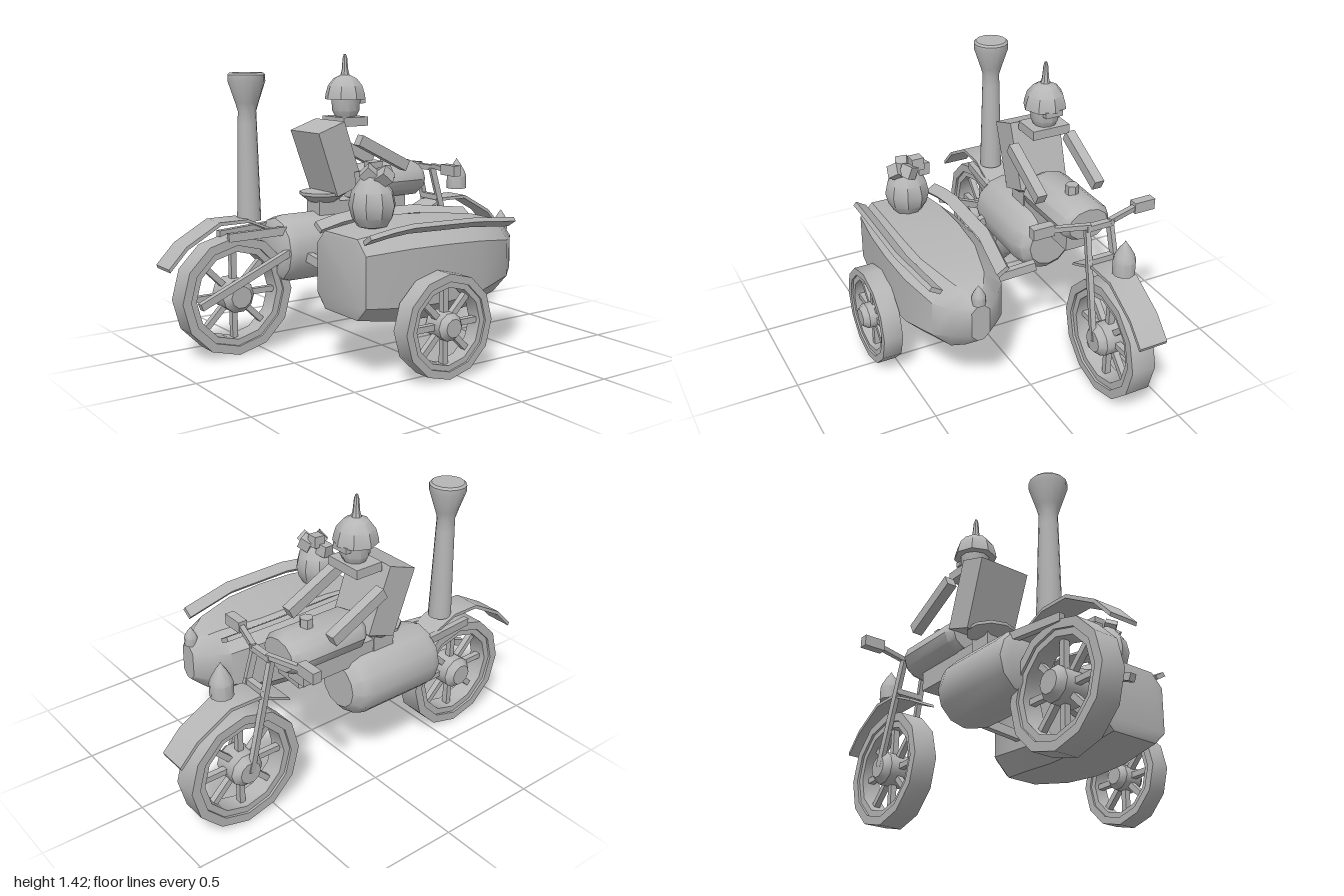
import * as THREE from 'three';
import { toCreasedNormals } from 'three/addons/utils/BufferGeometryUtils.js';

const grey = new THREE.MeshStandardMaterial({ color: 0xb6b6b6 });
grey.name = 'plain grey';
const BX = -0.32; // centre line of the motorcycle
const SX = 0.285; // centre line of the sidecar

export function createModel() {
  const root = new THREE.Group();
  root.name = 'motorcycleWithSidecar';

  const add = (name, geo, x = 0, y = 0, z = 0, parent = root) => {
    const m = new THREE.Mesh(toCreasedNormals(geo, 0.65), grey);
    m.name = name;
    m.position.set(x, y, z);
    parent.add(m);
    return m;
  };
  const box = (name, w, h, d, x, y, z, parent) => add(name, new THREE.BoxGeometry(w, h, d), x, y, z, parent);
  // box beam running from a to b
  const bar = (name, a, b, w, h) => {
    const p = new THREE.Vector3(...a), q = new THREE.Vector3(...b);
    const m = add(name, new THREE.BoxGeometry(w, h, p.distanceTo(q)));
    m.position.copy(p).lerp(q, 0.5);
    m.lookAt(q);
    return m;
  };
  // turned part, profile given as [radius, height] from bottom to top
  const lathe = (pts, n) => new THREE.LatheGeometry(pts.map(p => new THREE.Vector2(...p)), n);
  const ring = (r0, r1, w) =>
    lathe([[r0, -w / 2], [r1, -w / 2], [r1, w / 2], [r0, w / 2], [r0, -w / 2]], 12).rotateZ(Math.PI / 2);
  // closed skin over equal-sized loops ordered from +z to -z, each counter-clockwise seen from +z
  const loft = loops => {
    const n = loops[0].length, idx = [];
    for (let i = 0; i < loops.length - 1; i++)
      for (let k = 0; k < n; k++) {
        const a = i * n + k, b = i * n + (k + 1) % n, c = b + n, d = a + n;
        idx.push(a, d, c, a, c, b);
      }
    const last = (loops.length - 1) * n;
    for (let k = 1; k < n - 1; k++) idx.push(0, k, k + 1, last, last + k + 1, last + k);
    const g = new THREE.BufferGeometry();
    g.setAttribute('position', new THREE.Float32BufferAttribute(loops.flat(2), 3));
    g.setIndex(idx);
    return g.toNonIndexed();
  };

  // Wheels
  const wheel = (name, x, y, z, r, w, hubR, hubW) => {
    const g = new THREE.Group();
    g.name = name;
    g.position.set(x, y, z);
    root.add(g);
    add('tyre', ring(r * 0.85, r, w), 0, 0, 0, g);
    add('rim', ring(r * 0.74, r * 0.86, w * 0.8), 0, 0, 0, g);
    add('hub', lathe([[0, -hubW / 2], [hubR * 0.65, -hubW / 2], [hubR, -hubW * 0.32], [hubR, hubW * 0.32],
      [hubR * 0.65, hubW / 2], [0, hubW / 2]], 10).rotateZ(Math.PI / 2), 0, 0, 0, g);
    for (let i = 0; i < 4; i++)
      box('spokePair', 0.03, r * 1.56, 0.028, 0, 0, 0, g).rotation.x = i * Math.PI / 4;
  };
  wheel('chimneyEndWheel', BX, 0.29, 0.645, 0.288, 0.12, 0.082, 0.18);
  wheel('steeringWheel', BX, 0.29, -0.66, 0.288, 0.12, 0.082, 0.18);
  wheel('sidecarWheel', 0.563, 0.243, 0.065, 0.24, 0.095, 0.065, 0.15);

  // Mudguards: bent strips over the two big wheels
  for (const s of [1, -1]) {
    const path = [[1.0, 0.465], [0.91, 0.56], [0.74, 0.655], [0.59, 0.655], [0.43, 0.585]];
    const shape = new THREE.Shape();
    path.forEach(([z, y], i) => (i ? shape.lineTo(s * z, y) : shape.moveTo(s * z, y)));
    [...path].reverse().forEach(([z, y]) => shape.lineTo(s * (z - 0.006), y - 0.016));
    const g = new THREE.ExtrudeGeometry(shape, { depth: 0.14, bevelEnabled: false });
    g.rotateY(-Math.PI / 2); // profile x becomes z, depth runs towards -x
    add('mudguard', g, BX + 0.07, 0, 0);
  }
  for (const s of [1, -1]) bar('mudguardStay', [BX + s * 0.085, 0.585, 0.40], [BX + s * 0.05, 0.575, 0.69], 0.03, 0.04);

  // Boiler, chimney and frame
  add('boiler', lathe([[0, -0.27], [0.11, -0.27], [0.15, -0.235], [0.168, -0.18], [0.168, 0.19], [0.155, 0.235],
    [0.12, 0.255], [0, 0.255]], 12).rotateX(Math.PI / 2), BX, 0.48, 0.175);
  add('chimney', lathe([[0, 0.64], [0.057, 0.64], [0.045, 1.1], [0.043, 1.16], [0.055, 1.2], [0.088, 1.3],
    [0.088, 1.33], [0.078, 1.34], [0, 1.34]], 14), BX, 0, 0.55);
  box('frameBeam', 0.11, 0.1, 0.42, BX, 0.645, -0.13);
  box('seatPost', 0.12, 0.14, 0.12, BX, 0.65, 0.13);
  add('saddle', lathe([[0, 0.69], [0.07, 0.695], [0.115, 0.73], [0.115, 0.745], [0, 0.745]], 10), BX, 0, 0.135);
  bar('exhaustPipe', [-0.19, 0.485, 0.41], [-0.173, 0.29, 0.885], 0.032, 0.034);

  // Fuel tank
  const tank = lathe([[0, -0.21], [0.08, -0.21], [0.1, -0.175], [0.1, 0.175], [0.08, 0.21], [0, 0.21]], 12);
  tank.rotateX(Math.PI / 2).scale(1.3, 0.95, 1);
  add('fuelTank', tank, BX, 0.775, -0.225);
  add('tankCap', new THREE.CylinderGeometry(0.032, 0.032, 0.05, 6), BX, 0.885, -0.28);

  // Fork, handlebar and lamp
  for (const s of [1, -1]) {
    bar('forkLeg', [BX + s * 0.06, 0.82, -0.515], [BX + s * 0.082, 0.29, -0.655], 0.024, 0.03);
    bar('handlebarArm', [BX + s * 0.05, 0.83, -0.53], [BX + s * 0.225, 0.83, -0.475], 0.024, 0.024);
    box('grip', 0.108, 0.054, 0.045, BX + s * 0.268, 0.832, -0.472);
  }
  box('forkCrown', 0.14, 0.028, 0.03, BX, 0.82, -0.525);
  box('forkBridge', 0.14, 0.028, 0.03, BX, 0.66, -0.555);
  const lamp = (name, r, h, x, y, z) => add(name, lathe([[0, 0], [r, 0], [r, h * 0.4], [r * 0.85, h * 0.55],
    [r * 0.45, h * 0.78], [r * 0.18, h * 0.9], [0, h]], 10), x, y, z);
  lamp('mudguardLamp', 0.053, 0.165, BX, 0.688, -0.735);
  lamp('sidecarLamp', 0.032, 0.095, SX, 0.575, -0.515);

  // Rider
  const torso = new THREE.BoxGeometry(0.265, 0.335, 0.158);
  const tp = torso.attributes.position;
  for (let i = 0; i < tp.count; i++) if (tp.getY(i) < 0) tp.setX(i, tp.getX(i) * 0.96);
  torso.computeVertexNormals();
  add('torso', torso, BX, 0.913, 0.106).rotation.x = 0.335;
  for (const s of [1, -1])
    bar('arm', [BX + s * 0.155, 1.005, 0.02], [BX + s * 0.155, 0.86, -0.265], 0.05, 0.055);
  box('collar', 0.195, 0.045, 0.145, BX, 1.09, -0.005);
  add('head', lathe([[0, 1.1], [0.05, 1.105], [0.068, 1.14], [0.072, 1.2], [0, 1.21]], 10), BX, 0, -0.008);
  add('helmet', lathe([[0, 1.195], [0.104, 1.198], [0.1, 1.225], [0.088, 1.265], [0.06, 1.3], [0.024, 1.318],
    [0.017, 1.34], [0.012, 1.4], [0.006, 1.42], [0, 1.42]], 8), BX, 0, -0.005);
  box('visor', 0.09, 0.028, 0.03, BX, 1.19, -0.083);

  // Sidecar hull: [z, half width, bottom, top, corner cut]
  const hull = [
    [0.43, 0.18, 0.295, 0.628, 0.055],
    [0.425, 0.195, 0.285, 0.645, 0.065],
    [0.2, 0.225, 0.25, 0.673, 0.08],
    [0, 0.232, 0.245, 0.677, 0.085],
    [-0.2, 0.222, 0.262, 0.668, 0.085],
    [-0.4, 0.175, 0.295, 0.648, 0.09],
    [-0.47, 0.115, 0.335, 0.62, 0.07],
    [-0.537, 0.045, 0.39, 0.575, 0.03],
  ].map(([z, w, b, t, c]) => [
    [w, b + c], [w, t - c], [w - c, t], [c - w, t], [-w, t - c], [-w, b + c], [c - w, b], [w - c, b],
  ].map(([x, y]) => [x, y, z]));
  add('sidecarHull', loft(hull), SX, 0, 0);

  // Sidecar rails: slanted strips along both upper edges
  for (const s of [1, -1]) {
    const rail = [[0.42, 0.185, 0.628], [0.3, 0.197, 0.65], [0.2, 0.203, 0.66], [-0.15, 0.203, 0.652], [-0.43, 0.155, 0.62]]
      .map(([z, x, y]) => {
        const loop = [[-0.022, 0.02], [-0.008, 0.002], [0.044, 0.034], [0.03, 0.052]]
          .map(([u, v]) => [s * (x + u), y + v - 0.006, z]);
        return s > 0 ? loop : loop.reverse();
      });
    add('sidecarRail', loft(rail), SX, 0, 0);
  }

  // Struts joining motorcycle and sidecar
  bar('sidecarStrut', [-0.18, 0.46, -0.2], [0.09, 0.4, -0.135], 0.035, 0.045);
  bar('sidecarStrut', [-0.18, 0.46, 0.315], [0.09, 0.4, 0.275], 0.035, 0.045);

  // Sack with lumps of fuel
  add('sack', lathe([[0, 0.65], [0.07, 0.67], [0.095, 0.71], [0.108, 0.765], [0.095, 0.825], [0.06, 0.875],
    [0.045, 0.895], [0, 0.9]], 9), 0.29, 0, 0.258);
  [[0.215, 0.88, 0.25, 0.1], [0.25, 0.925, 0.225, 0.9], [0.295, 0.905, 0.28, 0.5], [0.35, 0.895, 0.235, 1.3],
    [0.3, 0.9, 0.2, 2.1]].forEach(([x, y, z, a]) =>
    box('fuelLump', 0.06, 0.06, 0.06, x, y, z).rotation.set(a * 0.8, a * 1.7, a));

  return root;
}
